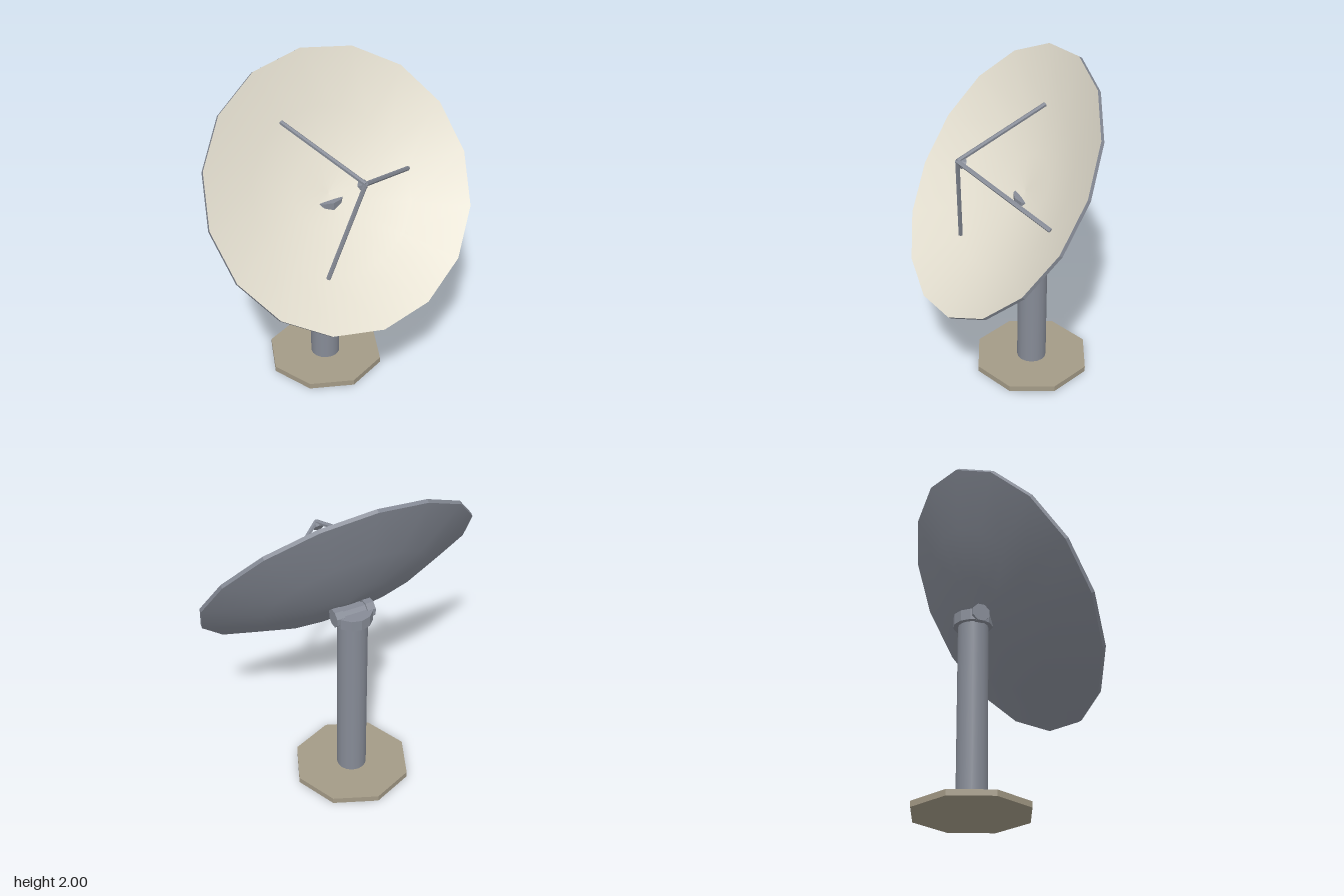
import * as THREE from 'three';

const mat = (color, flatShading = false) => new THREE.MeshStandardMaterial({ color, flatShading });

function add(parent, name, geometry, material, x = 0, y = 0, z = 0) {
  const mesh = new THREE.Mesh(geometry, material);
  mesh.name = name;
  mesh.position.set(x, y, z);
  parent.add(mesh);
  return mesh;
}

// Thin rod between two points
function rod(parent, name, a, b, radius, material) {
  const dir = b.clone().sub(a);
  const mesh = add(parent, name, new THREE.CylinderGeometry(radius, radius, dir.length(), 6), material);
  mesh.position.copy(a).add(b).multiplyScalar(0.5);
  mesh.quaternion.setFromUnitVectors(new THREE.Vector3(0, 1, 0), dir.normalize());
}

export function createModel() {
  const model = new THREE.Group();
  model.name = 'satelliteDish';
  const metal = mat(0x868b96);
  const metalFlat = mat(0x868b96, true);
  const cream = mat(0xe4dfd0);
  const tan = mat(0xa39a86, true);
  const poleZ = -0.17;

  // Octagonal base, round pole and collar
  add(model, 'base', new THREE.CylinderGeometry(0.35, 0.35, 0.035, 8), tan, 0, 0.0175, poleZ);
  add(model, 'pole', new THREE.CylinderGeometry(0.0875, 0.0875, 1.1, 16), metal, 0, 0.58, poleZ);
  add(model, 'collar', new THREE.CylinderGeometry(0.115, 0.115, 0.065, 12), metalFlat, 0, 1.1525, poleZ);

  // Tilt pivot: a horizontal bar with a wider lug at each end
  const pivot = (name, radius, length, x) => {
    const g = new THREE.CylinderGeometry(radius, radius, length, 8);
    g.rotateY(Math.PI / 8).rotateZ(Math.PI / 2);
    add(model, name, g, metalFlat, x, 1.165, poleZ);
  };
  pivot('pivotBar', 0.043, 0.16, 0);
  for (const side of [-1, 1]) pivot('pivotLug', 0.054, 0.05, side * 0.095);

  // Reflector: parabolic bowl built along its own axis, then tilted up
  const dish = new THREE.Group();
  dish.name = 'dish';
  dish.position.set(0, 1.33, 0.04);
  dish.rotation.x = THREE.MathUtils.degToRad(55);
  model.add(dish);

  const R = 0.82, depth = 0.195, thick = 0.022;
  const bowl = (r) => depth * ((r / R) ** 2 - 1);
  const rings = [0, 0.22, 0.5, R];
  const back = rings.map((r) => new THREE.Vector2(r, bowl(r) - thick));
  const front = rings.map((r) => new THREE.Vector2(r, bowl(r))).reverse();
  add(dish, 'dishBack', new THREE.LatheGeometry(back, 16), metal);
  add(dish, 'dishFront', new THREE.LatheGeometry(front, 16), cream);
  add(dish, 'dishRim', new THREE.CylinderGeometry(R, R, thick, 16, 1, true), metalFlat, 0, -thick / 2, 0);

  // Three struts meeting at the focus, with a small feed horn
  const focus = new THREE.Vector3(0, 0.3, 0);
  for (const degrees of [0, 112.5, -112.5]) {
    const a = THREE.MathUtils.degToRad(degrees);
    const foot = new THREE.Vector3(0.495 * Math.cos(a), bowl(0.495) + 0.008, 0.495 * Math.sin(a));
    rod(dish, 'strut', foot, focus, 0.0135, metalFlat);
  }
  add(dish, 'feedHorn', new THREE.CylinderGeometry(0.008, 0.032, 0.04, 8), metalFlat, 0, 0.28, 0);

  return model;
}
